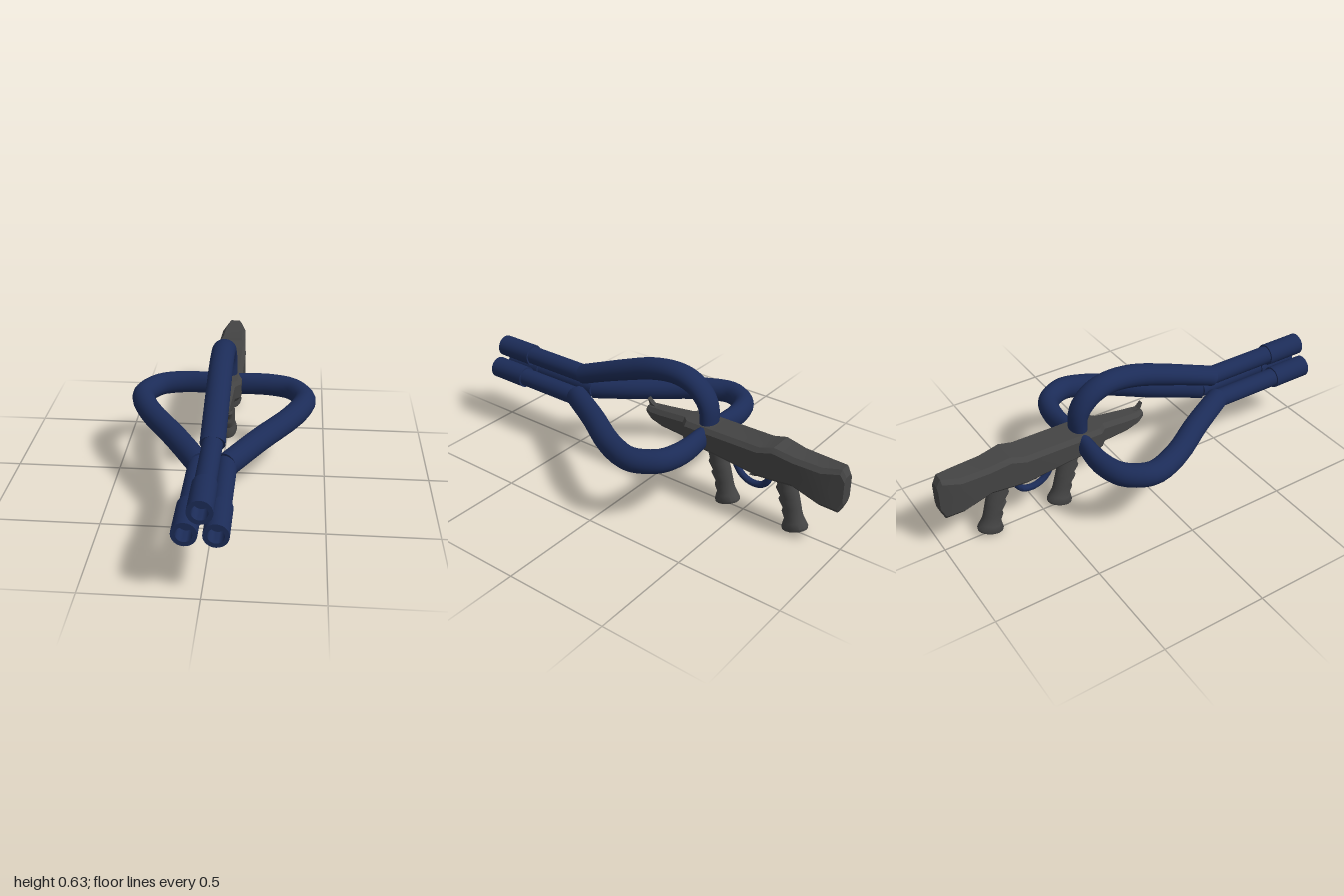
import * as THREE from 'three';
import { toCreasedNormals } from 'three/addons/utils/BufferGeometryUtils.js';

const navy = new THREE.MeshStandardMaterial({ color: 0x1c2c58 });
const dark = new THREE.MeshStandardMaterial({ color: 0x444444 });
const V = (x, y, z) => new THREE.Vector3(x, y, z);

// Skin a list of equal-sized rings and cap both ends.
function loft(rings, crease = 0.6) {
  const n = rings[0].length, pos = [], idx = [];
  rings.forEach(r => r.forEach(p => pos.push(p.x, p.y, p.z)));
  for (let r = 0; r < rings.length - 1; r++) {
    for (let i = 0; i < n; i++) {
      const a = r * n + i, b = r * n + (i + 1) % n;
      idx.push(a, b, b + n, a, b + n, a + n);
    }
  }
  const last = (rings.length - 1) * n;
  for (let i = 1; i < n - 1; i++) {
    idx.push(0, i + 1, i, last, last + i, last + i + 1);
  }
  const g = new THREE.BufferGeometry();
  g.setAttribute('position', new THREE.Float32BufferAttribute(pos, 3));
  g.setIndex(idx);
  return toCreasedNormals(g, crease);
}

// Sweep an ellipse along a flat path; each point is [x, y, z, in-plane radius].
function pipe(points, axis, radius, steps = 28, sides = 20) {
  const curve = new THREE.CatmullRomCurve3(points.map(p => V(p[0], p[1], p[2])));
  const rings = [];
  for (let s = 0; s <= steps; s++) {
    const t = s / steps, k = t * (points.length - 1);
    const i = Math.min(Math.floor(k), points.length - 2);
    const w = THREE.MathUtils.lerp(points[i][3], points[i + 1][3], k - i);
    const c = curve.getPoint(t), dir = curve.getTangent(t);
    const u = axis.clone().cross(dir).normalize();
    const v = dir.clone().cross(u);
    rings.push(Array.from({ length: sides }, (_, j) => {
      const a = j / sides * Math.PI * 2;
      return c.clone().addScaledVector(u, w * Math.cos(a)).addScaledVector(v, radius * Math.sin(a));
    }));
  }
  return loft(rings, 0.8);
}

function barrelGeometry() {
  const profile = [[0, 0.44], [0.045, 0.44], [0.045, 0.8], [0.053, 0.8],
    [0.053, 1], [0.034, 1], [0.034, 0.92], [0, 0.92]];
  const g = new THREE.LatheGeometry(profile.map(p => new THREE.Vector2(...p)), 24);
  return toCreasedNormals(g.rotateX(Math.PI / 2), 0.6);
}

// Bevelled box sections from butt to nose: [z, bottom, top, half width].
function stockGeometry() {
  const sections = [
    [-1, 0.25, 0.385, 0.033], [-0.98, 0.204, 0.42, 0.038], [-0.9, 0.222, 0.408, 0.062],
    [-0.77, 0.265, 0.41, 0.067], [-0.67, 0.26, 0.426, 0.075], [-0.6, 0.258, 0.405, 0.08],
    [-0.33, 0.285, 0.402, 0.08], [-0.215, 0.292, 0.402, 0.08], [-0.185, 0.295, 0.4, 0.052],
    [-0.05, 0.3, 0.385, 0.045], [0.01, 0.315, 0.38, 0.04], [0.04, 0.34, 0.378, 0.03]];
  return loft(sections.map(([z, b, t, w]) => {
    const c = Math.min(0.018, w * 0.4), h = Math.min(0.02, (t - b) * 0.3);
    return [[w, b + h], [w, t - h], [w - c, t], [c - w, t],
      [-w, t - h], [-w, b + h], [c - w, b], [w - c, b]].map(p => V(p[0], p[1], z));
  }), 0.4);
}

// Finger-grooved grip, foot to top: [front z, front y, rear z, rear y, half width].
function gripGeometry() {
  const sections = [
    [-0.352, 0.006, -0.473, 0.038, 0.046], [-0.351, 0.02, -0.473, 0.05, 0.05],
    [-0.357, 0.05, -0.456, 0.072, 0.046], [-0.361, 0.06, -0.447, 0.09, 0.04],
    [-0.345, 0.094, -0.438, 0.115, 0.04], [-0.35, 0.115, -0.433, 0.137, 0.038],
    [-0.324, 0.152, -0.424, 0.172, 0.04], [-0.334, 0.168, -0.42, 0.188, 0.038],
    [-0.307, 0.205, -0.408, 0.225, 0.04], [-0.313, 0.222, -0.403, 0.24, 0.038],
    [-0.289, 0.3, -0.385, 0.31, 0.04]];
  return loft(sections.map(([zf, yf, zr, yr, w]) =>
    Array.from({ length: 16 }, (_, j) => {
      const a = j / 16 * Math.PI * 2, k = (1 - Math.cos(a)) / 2;
      return V(w * Math.sin(a), yf + (yr - yf) * k, zf + (zr - zf) * k);
    })), 0.7);
}

export function createModel() {
  const model = new THREE.Group();
  const add = (name, geometry, material, x = 0, y = 0, z = 0) => {
    const mesh = new THREE.Mesh(geometry, material);
    mesh.name = name;
    mesh.position.set(x, y, z);
    model.add(mesh);
    return mesh;
  };

  // Three clustered barrels with muzzle sleeves
  const barrel = barrelGeometry();
  add('topBarrel', barrel, navy, 0, 0.408, 0);
  add('leftBarrel', barrel, navy, 0.062, 0.307, 0);
  add('rightBarrel', barrel, navy, -0.062, 0.307, 0);

  // Pipes that bow out from the barrels and return into the stock
  add('topPipe', pipe([
    [0, 0.408, 0.455, 0.048], [0, 0.46, 0.325, 0.048], [0, 0.51, 0.195, 0.05],
    [0, 0.57, 0.02, 0.052], [0, 0.588, -0.105, 0.05], [0, 0.576, -0.185, 0.05],
    [0, 0.54, -0.247, 0.048], [0, 0.475, -0.292, 0.042], [0, 0.36, -0.298, 0.04]],
  V(1, 0, 0), 0.056), navy);
  for (const [name, s] of [['leftPipe', 1], ['rightPipe', -1]]) {
    add(name, pipe([
      [0.06 * s, 0.307, 0.455, 0.053], [0.19 * s, 0.318, 0.235, 0.055],
      [0.34 * s, 0.331, 0.005, 0.055], [0.392 * s, 0.337, -0.145, 0.054],
      [0.368 * s, 0.339, -0.22, 0.052], [0.317 * s, 0.341, -0.277, 0.05],
      [0.21 * s, 0.343, -0.307, 0.046], [0.075 * s, 0.345, -0.303, 0.036],
      [0.02 * s, 0.345, -0.3, 0.034]],
    V(0, 1, 0), 0.055), navy);
  }

  // Stock with a narrow nose and a forward-swept front sight
  add('stock', stockGeometry(), dark);
  const fin = new THREE.Shape([[0.03, 0.37], [0.047, 0.412], [0.022, 0.388], [-0.02, 0.375]]
    .map(p => new THREE.Vector2(-p[0], p[1])));
  const finGeometry = new THREE.ExtrudeGeometry(fin, { depth: 0.024, bevelEnabled: false });
  finGeometry.translate(0, 0, -0.012).rotateY(Math.PI / 2);
  add('frontSight', finGeometry, dark);

  // Two matching grips
  const grip = gripGeometry();
  add('frontGrip', grip, dark);
  add('rearGrip', grip, dark, 0, 0, -0.36);

  // Trigger and its guard
  add('triggerGuard', pipe([
    [0, 0.3, -0.432, 0.016], [0, 0.235, -0.452, 0.016], [0, 0.187, -0.49, 0.016],
    [0, 0.168, -0.545, 0.016], [0, 0.18, -0.595, 0.016], [0, 0.215, -0.623, 0.016],
    [0, 0.28, -0.635, 0.016]], V(1, 0, 0), 0.016, 24, 12), navy);
  add('trigger', pipe([
    [0, 0.28, -0.565, 0.012], [0, 0.242, -0.575, 0.01],
    [0, 0.22, -0.56, 0.008], [0, 0.211, -0.528, 0.003]],
  V(1, 0, 0), 0.01, 10, 10), dark);

  return model;
}
